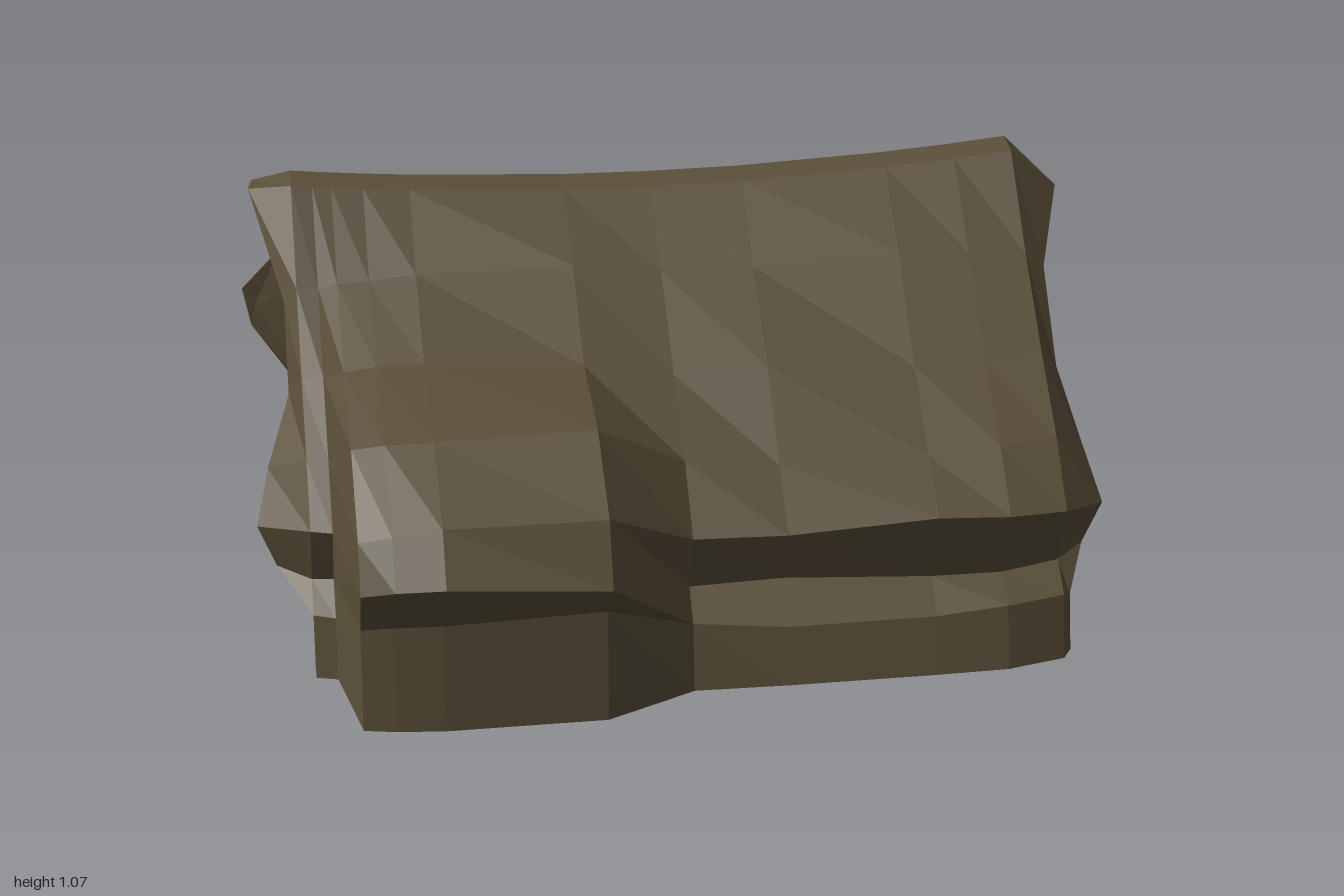
import * as THREE from 'three';

// Profile as [z, y]: up the back wall, over the ridge, down the front, along the floor
const PROFILE = [
  [-0.83, 0], [-1, 0.12], [-0.92, 0.32], [-0.97, 0.47], [-0.91, 0.56], [-0.56, 0.72],
  [-0.09, 1.02], [-0.01, 1.01], [0.17, 0.87], [0.4, 0.69], [0.59, 0.54], [0.73, 0.43],
  [0.66, 0.27], [0.74, 0.2], [0.77, 0.06], [0.46, 0],
];
// Front half of the profile where the porch sticks out (from point 8 on)
const PORCH = [
  [0.17, 0.88], [0.4, 0.74], [0.69, 0.69], [0.92, 0.57],
  [1.0, 0.45], [0.87, 0.32], [0.88, 0.05], [0.5, 0],
];
// Outer edge of the roof and walls at the open ends as [z, y, x]
const RAKE = [
  [-0.75, 0, 0.78], [-0.9, 0.11, 0.88], [-0.8, 0.28, 0.88], [-0.76, 0.38, 0.95],
  [-0.72, 0.5, 0.97], [-0.45, 0.72, 0.88], [-0.12, 0.95, 0.97], [-0.06, 0.95, 0.98],
  [0.15, 0.82, 0.91], [0.32, 0.63, 0.91], [0.48, 0.5, 0.94], [0.58, 0.39, 0.97],
  [0.56, 0.28, 0.93], [0.67, 0.2, 0.88], [0.7, 0.07, 0.88], [0.46, 0, 0.78],
];
// Gable wall under the rake as [z, y, x]
const GABLE = [
  [-0.74, 0.02, 0.8], [-0.86, 0.11, 0.88], [-0.75, 0.22, 0.87], [-0.72, 0.27, 0.86],
  [-0.64, 0.32, 0.85], [-0.4, 0.43, 0.83], [-0.2, 0.58, 0.81], [0.04, 0.57, 0.81],
  [0.15, 0.5, 0.82], [0.3, 0.42, 0.83], [0.45, 0.33, 0.85], [0.54, 0.27, 0.86],
  [0.56, 0.24, 0.87], [0.65, 0.18, 0.87], [0.68, 0.08, 0.87], [0.46, 0.02, 0.8],
];
const N = PROFILE.length;
// Main sections: [x, amount of porch, width of back, width of front]
const SECTIONS = [
  [-0.88, 0, 0.92, 0.78], [-0.83, 0, 0.95, 0.8], [-0.785, 0.8, 0.95, 1], [-0.71, 0.92, 0.96, 1],
  [-0.6, 1, 0.97, 1], [-0.23, 0.94, 0.98, 1], [-0.02, 0.05, 1, 1], [0.2, 0, 1, 1.01],
  [0.55, 0, 1, 1], [0.72, 0, 1, 0.99], [0.86, 0, 0.92, 0.94],
];

// The floor is tilted, higher towards the left end
const floorLift = (x) => 0.035 * Math.max(0, 0.7 - x);

function section([x, porch, back, front]) {
  return PROFILE.map(([z, y], i) => {
    if (i >= 8) {
      z += (PORCH[i - 8][0] - z) * porch;
      y += (PORCH[i - 8][1] - y) * porch;
    }
    if (i < 5) z *= back;
    if (i > 8) z *= front;
    const floor = i === 0 || i === 15;
    if (i === 6 || i === 7) {
      // sagging ridge
      y += 0.06 * x * x;
      z -= 0.02 * x;
    } else if (floor) y += floorLift(x);
    else if (y > 0.15) y += 0.012 * Math.sin(x * 7 + i * 2.1);
    return new THREE.Vector3(floor ? THREE.MathUtils.clamp(x, -0.78, 0.78) : x, y, z);
  });
}

// Rings that close one end, from the rake edge in to the bottom of the opening
function endRings({ side, back, front, ridge, reach, opening }) {
  const place = ([z, y, x], i) => new THREE.Vector3(
    side * x * (i > 2 && i < 6 || i > 9 && i < 13 ? reach : 1),
    i === 0 || i === 15 ? y + floorLift(side) : y,
    z * (i < 5 ? back : i > 8 ? front : 1));
  const rake = RAKE.map(place);
  rake[6].y = rake[7].y = ridge;
  // underside of the roof edge
  const inner = rake.map((p, i) => {
    const drop = i > 4 && i < 11 ? 0.11 : i === 4 || i === 11 ? 0.05 : 0;
    return new THREE.Vector3(p.x - side * (drop ? 0.03 : 0), p.y - drop, p.z);
  });
  const hole = (s, x) => GABLE.map(([z, y]) => {
    const a = Math.atan2((y - opening.y) / 0.3, z / 0.6);
    return new THREE.Vector3(side * x, opening.y + Math.sin(a) * opening.h * s, opening.z + Math.cos(a) * opening.w * s);
  });
  return [rake, inner, GABLE.map(place), hole(1, 0.84), hole(0.75, opening.x)];
}

// Skin between neighbouring rings for profile points from..to
function skin(rings, from, to) {
  const pos = [];
  for (let r = 0; r + 1 < rings.length; r++) {
    for (let k = from; k < to; k++) {
      const [a, b] = [rings[r], rings[r + 1]];
      const i = k % N, j = (k + 1) % N;
      for (const p of [a[i], a[j], b[j], a[i], b[j], b[i]]) pos.push(p.x, p.y, p.z);
    }
  }
  return pos;
}

// Fan that closes a ring
function cap(ring, side) {
  const pos = [];
  const c = new THREE.Vector3();
  ring.forEach((p) => c.addScaledVector(p, 1 / N));
  ring.forEach((p, i) => {
    const q = ring[(i + 1) % N];
    for (const v of side > 0 ? [c, p, q] : [c, q, p]) pos.push(v.x, v.y, v.z);
  });
  return pos;
}

export function createModel() {
  const brown = new THREE.MeshStandardMaterial({ color: 0x5a4f39, flatShading: true, side: THREE.DoubleSide });
  brown.name = 'earth brown';
  const group = new THREE.Group();
  group.name = 'hut';
  const add = (name, pos) => {
    const g = new THREE.BufferGeometry();
    g.setAttribute('position', new THREE.Float32BufferAttribute(pos, 3));
    g.computeVertexNormals();
    const mesh = new THREE.Mesh(g, brown);
    mesh.name = name;
    group.add(mesh);
  };

  const right = endRings({
    side: 1, back: 1, front: 1, ridge: 0.95, reach: 1,
    opening: { z: -0.01, y: 0.28, w: 0.16, h: 0.18, x: 0.72 },
  });
  const left = endRings({
    side: -1, back: 1.06, front: 0.8, ridge: 1.03, reach: 1.03,
    opening: { z: 0.04, y: 0.3, w: 0.2, h: 0.2, x: 0.77 },
  });
  const shell = [left[0], ...SECTIONS.map(section), right[0]];

  // Long body: roof with its eaves and porch, walls, floor
  add('backWall', skin(shell, 0, 3));
  add('roof', skin(shell, 3, 12));
  add('frontWall', skin(shell, 12, 15));
  add('floor', skin(shell, 15, 16));

  // Gable ends: overhang, wall and sunken opening
  for (const [name, rings, side] of [['left', right, 1], ['right', left, -1]]) {
    const part = (a, b) => {
      const s = rings.slice(a, b);
      return skin(side > 0 ? s : s.reverse(), 0, N);
    };
    add(name + 'Overhang', part(0, 3));
    add(name + 'GableWall', part(2, 4));
    add(name + 'Opening', [...part(3, 5), ...cap(rings[4], side)]);
  }
  return group;
}
